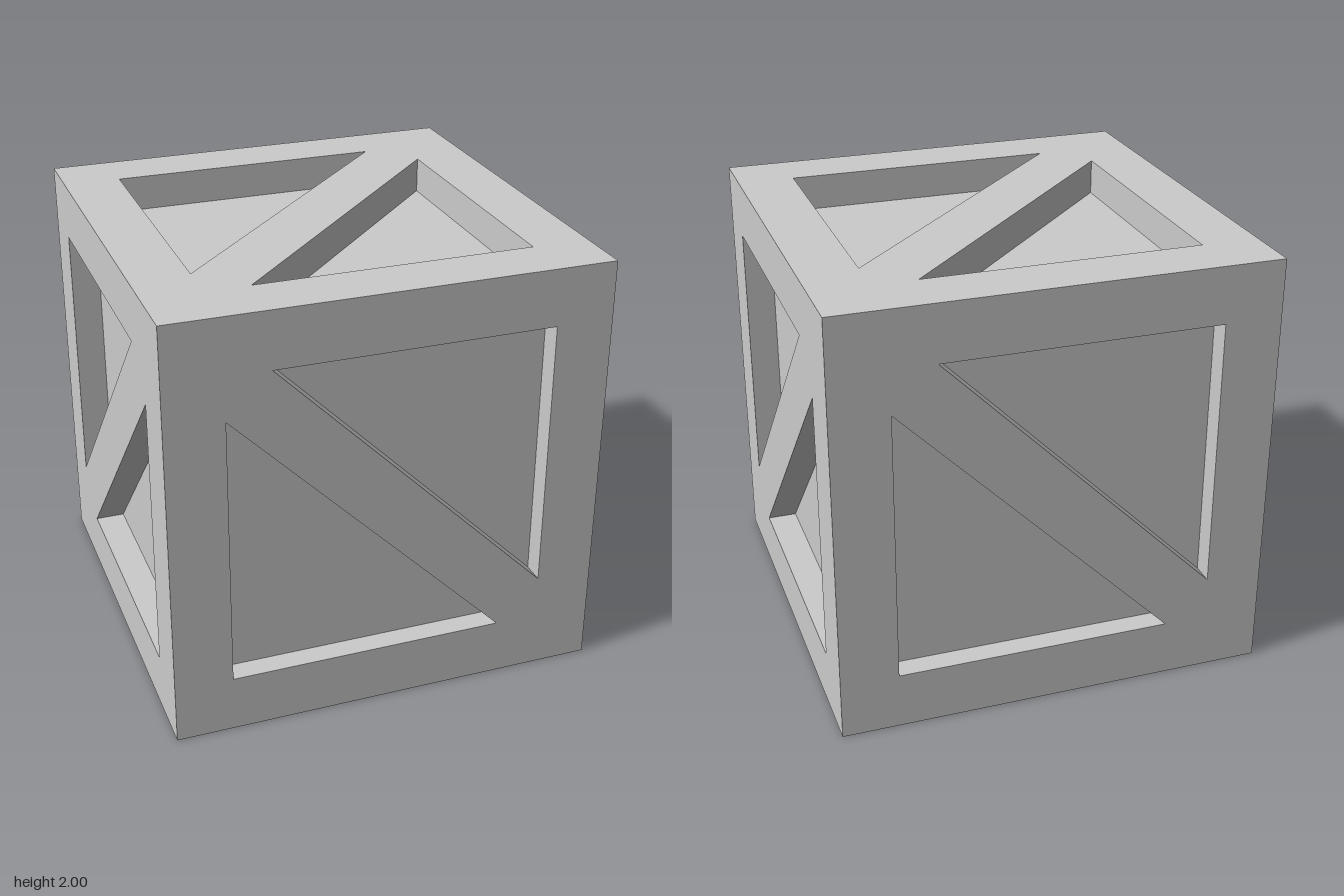
import * as THREE from 'three';
import { mergeGeometries } from 'three/addons/utils/BufferGeometryUtils.js';

const W = 0.735; // half-width of the recessed square
const T = 0.535; // where the diagonal brace meets it

// Two counter-clockwise triangles either side of the brace; slope 1 rises to the right
function triangles(slope) {
  return [1, -1].map((s) => {
    const pts = [[-T, W], [W, W], [W, -T]].map(([x, y]) => new THREE.Vector2(-slope * s * x, s * y));
    return THREE.ShapeUtils.isClockWise(pts) ? pts.reverse() : pts;
  });
}

// Walls of a recess, facing into the opening
function recessWalls(pts, depth) {
  const pos = [];
  const back = 1 - depth;
  pts.forEach((p, i) => {
    const q = pts[(i + 1) % pts.length];
    pos.push(p.x, p.y, 1, q.x, q.y, back, p.x, p.y, back);
    pos.push(p.x, p.y, 1, q.x, q.y, 1, q.x, q.y, back);
  });
  const geo = new THREE.BufferGeometry();
  geo.setAttribute('position', new THREE.Float32BufferAttribute(pos, 3));
  geo.computeVertexNormals();
  return geo;
}

// One crate side: outer frame with brace, recess walls and sunken panels
function crateSide(name, slope, depth, material) {
  const side = new THREE.Group();
  side.name = name;
  const add = (part, geo) => {
    const mesh = new THREE.Mesh(geo, material);
    mesh.name = part;
    side.add(mesh);
  };
  const tris = triangles(slope);

  const frame = new THREE.Shape([[-1, -1], [1, -1], [1, 1], [-1, 1]].map(([x, y]) => new THREE.Vector2(x, y)));
  frame.holes = tris.map((t) => new THREE.Path(t));
  add('frameAndBrace', new THREE.ShapeGeometry(frame).translate(0, 0, 1));
  add('recessWalls', mergeGeometries(tris.map((t) => recessWalls(t, depth))));
  add('sunkenPanels', mergeGeometries(
    tris.map((t) => new THREE.ShapeGeometry(new THREE.Shape(t)).translate(0, 0, 1 - depth))));
  return side;
}

export function createModel() {
  const crate = new THREE.Group();
  crate.name = 'crate';
  const material = new THREE.MeshStandardMaterial({ color: 0xcccccc, flatShading: true });
  const H = Math.PI / 2;

  // name, brace slope, recess depth, rotation about x, rotation about y
  const sides = [
    ['frontSide', -1, 0.105, 0, 0],
    ['backSide', -1, 0.105, 0, Math.PI],
    ['rightSide', 1, 0.138, 0, H],
    ['leftSide', 1, 0.138, 0, -H],
    ['topSide', 1, 0.165, -H, 0],
    ['bottomSide', 1, 0.165, H, 0],
  ];
  for (const [name, slope, depth, rx, ry] of sides) {
    const side = crateSide(name, slope, depth, material);
    side.rotation.set(rx, ry, 0);
    side.position.y = 1;
    crate.add(side);
  }
  return crate;
}
